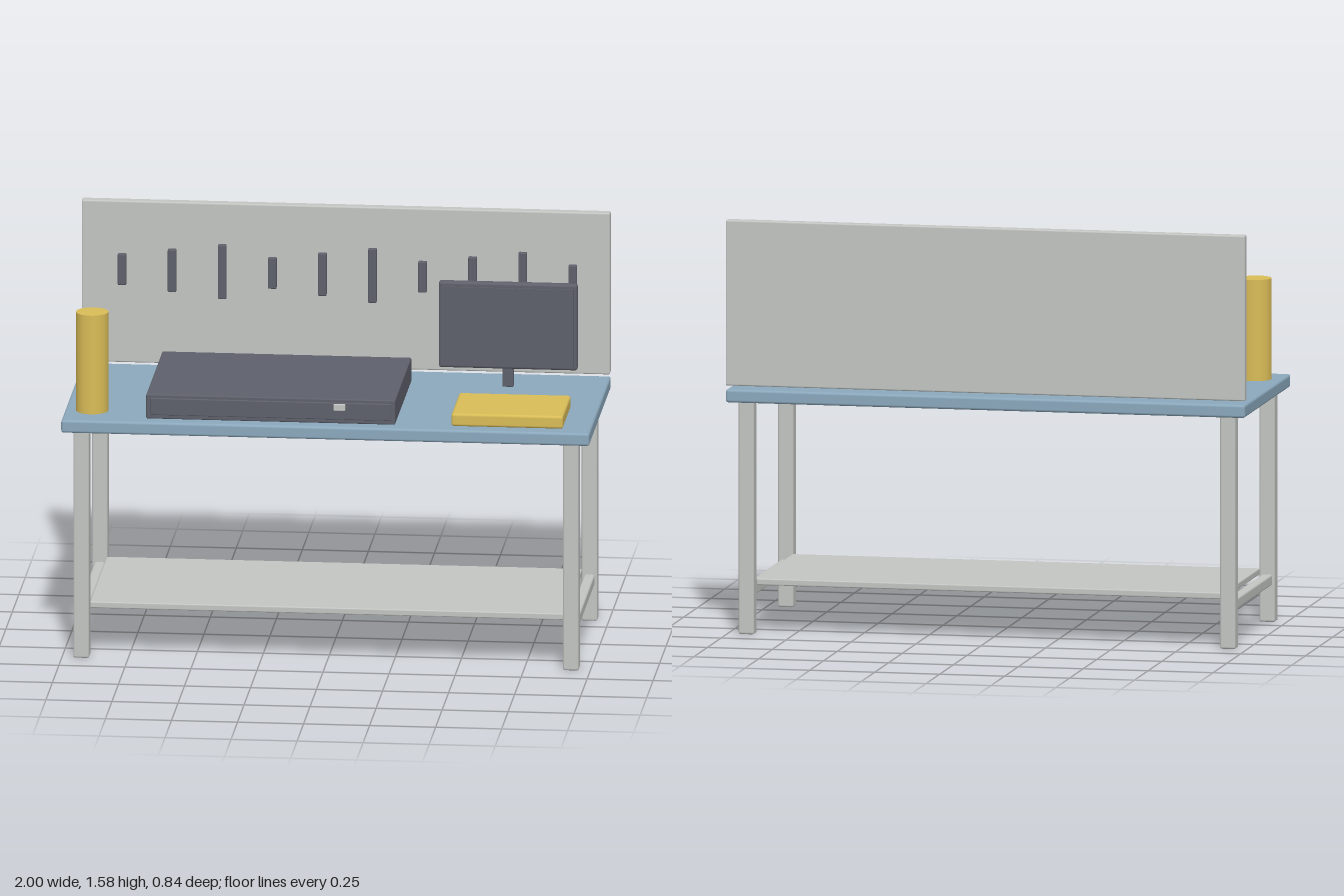
import * as THREE from 'three';
import { RoundedBoxGeometry } from 'three/addons/geometries/RoundedBoxGeometry.js';

const mat = (name, color) => {
  const m = new THREE.MeshStandardMaterial({ color });
  m.name = name;
  return m;
};

export function createModel() {
  const steel = mat('light steel', 0xc2c5c2);
  const blue = mat('blue worktop', 0x8ba8bc);
  const dark = mat('dark grey', 0x5e606b);
  const yellow = mat('yellow', 0xd9bc57);

  const model = new THREE.Group();
  model.name = 'workbench';

  // Box given by its extents, with softly rounded edges
  function box(name, material, [x0, x1], [y0, y1], [z0, z1], radius = 0.006) {
    const geometry = radius
      ? new RoundedBoxGeometry(x1 - x0, y1 - y0, z1 - z0, 2, radius)
      : new THREE.BoxGeometry(x1 - x0, y1 - y0, z1 - z0);
    const mesh = new THREE.Mesh(geometry, material);
    mesh.name = name;
    mesh.position.set((x0 + x1) / 2, (y0 + y1) / 2, (z0 + z1) / 2);
    model.add(mesh);
    return mesh;
  }

  // Bench: top, legs, side rails, lower shelf
  box('worktop', blue, [-1, 1], [0.885, 0.935], [-0.42, 0.42], 0.01);
  for (const side of [-1, 1]) {
    const x = side * 0.927;
    for (const end of [-1, 1]) {
      const z = end * 0.36;
      box('leg', steel, [x - 0.03, x + 0.03], [0, 0.89], [z - 0.03, z + 0.03], 0.008);
    }
    box('sideRail', steel, [x - 0.02, x + 0.02], [0.14, 0.182], [-0.336, 0.336], 0.008);
  }
  box('lowerShelf', steel, [-0.9, 0.9], [0.18, 0.205], [-0.328, 0.328], 0.005);

  // Tool panel with a row of hanging tools in three lengths
  box('backPanel', steel, [-1, 1], [0.95, 1.58], [-0.42, -0.38]);
  const lengths = [0.12, 0.165, 0.21];
  for (let i = 0; i < 10; i++) {
    const x = -0.846 + i * 0.1896;
    const half = lengths[i % 3] / 2;
    box('hangingTool', dark, [x - 0.016, x + 0.016], [1.317 - half, 1.317 + half], [-0.382, -0.358], 0.004);
  }

  // Flat case with a front plate and latch
  box('case', dark, [-0.683, 0.26], [0.935, 1.03], [-0.262, 0.365], 0.005);
  box('caseFrontPlate', dark, [-0.665, 0.245], [0.952, 1.017], [0.36, 0.373], 0.003);
  box('caseLatch', steel, [0.028, 0.072], [0.988, 1.014], [0.37, 0.382], 0.003);

  // Monitor on a post
  box('monitorBody', dark, [0.37, 0.895], [1.013, 1.348], [-0.226, -0.19], 0.01);
  box('monitorScreen', dark, [0.385, 0.88], [1.03, 1.33], [-0.192, -0.184], 0);
  box('monitorPost', dark, [0.608, 0.65], [0.935, 1.13], [-0.252, -0.222], 0.004);

  // Yellow book and canister
  box('book', yellow, [0.472, 0.895], [0.935, 0.985], [0.055, 0.365], 0.01);
  const canister = new THREE.Mesh(new THREE.CylinderGeometry(0.061, 0.061, 0.385, 32), yellow);
  canister.name = 'canister';
  canister.position.set(-0.897, 1.1275, 0.263);
  model.add(canister);

  return model;
}
